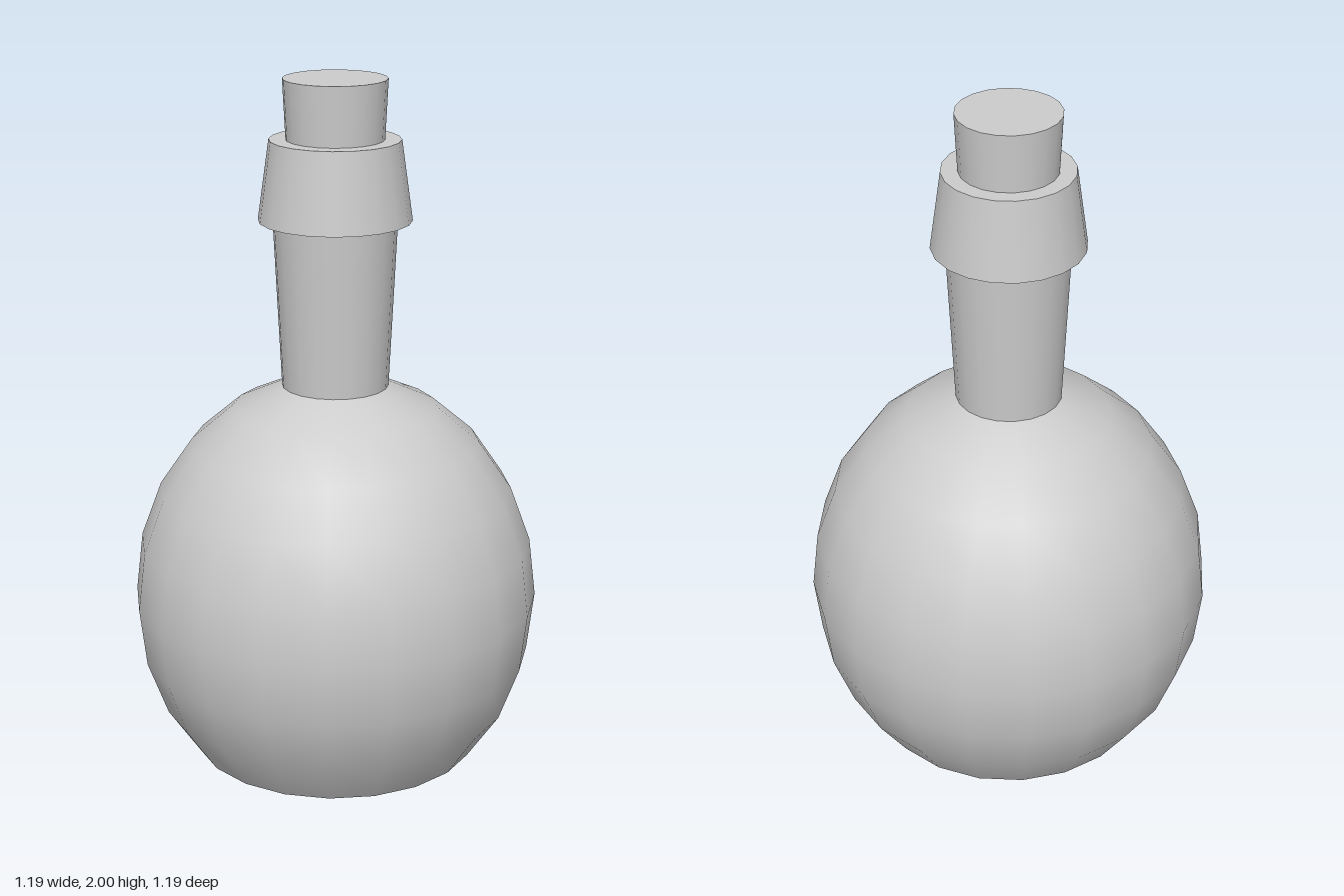
import * as THREE from 'three';

const SIDES = 20;

export function createModel() {
  const group = new THREE.Group();
  group.name = 'bottle';
  const material = new THREE.MeshStandardMaterial({ color: 0xcccccc });

  const add = (name, geometry, y = 0) => {
    const mesh = new THREE.Mesh(geometry, material);
    mesh.name = name;
    mesh.position.y = y;
    group.add(mesh);
    return mesh;
  };

  // Tapered round section standing between two heights
  const section = (name, rBottom, rTop, y0, y1) =>
    add(name, new THREE.CylinderGeometry(rTop, rBottom, y1 - y0, SIDES), (y0 + y1) / 2);

  // Egg-shaped belly: rings every 15 degrees, cut flat at the base and open at the neck
  const radius = 0.593, halfHeight = 0.667, centreY = halfHeight * Math.SQRT1_2;
  const profile = [];
  for (let deg = 135; deg >= 15; deg -= 15) {
    const a = THREE.MathUtils.degToRad(deg);
    profile.push(new THREE.Vector2(radius * Math.sin(a), centreY + halfHeight * Math.cos(a)));
  }
  add('body', new THREE.LatheGeometry(profile, SIDES));

  // Flat underside, with corners matching the belly
  const base = add('base', new THREE.CircleGeometry(profile[0].x, SIDES));
  base.rotation.x = Math.PI / 2;

  // Neck flares slightly and runs up into the collar
  section('neck', 0.154, 0.178, 1.115, 1.61);

  // Flared collar around the mouth
  section('collar', 0.219, 0.187, 1.6, 1.83);

  // Stopper
  section('cork', 0.139, 0.148, 1.82, 2);

  return group;
}
